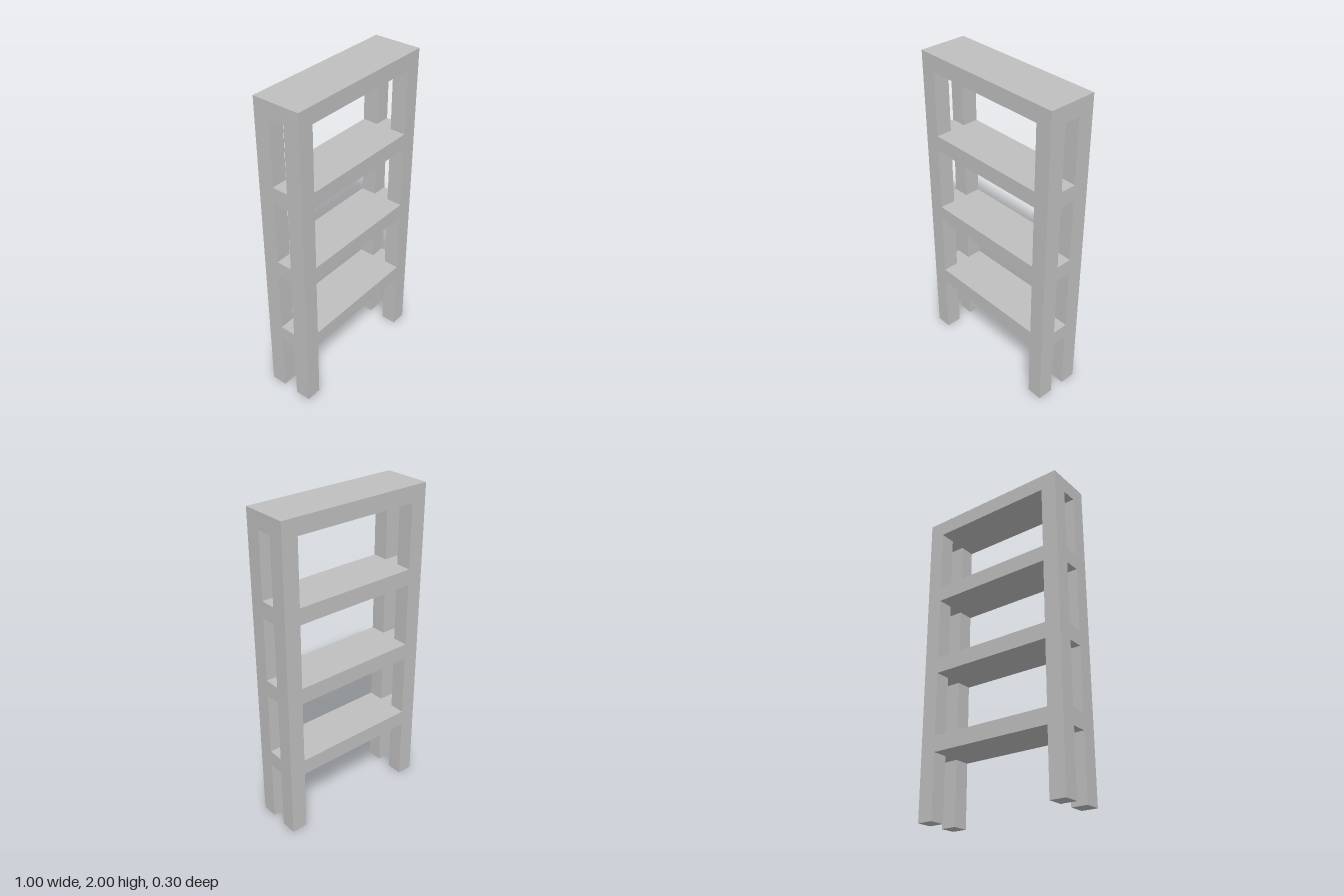
import * as THREE from 'three';

export function createModel() {
  const model = new THREE.Group();
  model.name = 'shelfRack';

  const grey = new THREE.MeshStandardMaterial({ color: 0xbfbfbf });
  grey.name = 'light grey';

  const width = 1, height = 2, depth = 0.3, thick = 0.1;

  // Four square corner posts
  const postGeometry = new THREE.BoxGeometry(thick, height, thick);
  for (const sx of [1, -1]) {
    for (const sz of [1, -1]) {
      const post = new THREE.Mesh(postGeometry, grey);
      post.name = (sz > 0 ? 'front' : 'back') + (sx > 0 ? 'Left' : 'Right') + 'Post';
      post.position.set(sx * (width - thick) / 2, height / 2, sz * (depth - thick) / 2);
      model.add(post);
    }
  }

  // Shelf outline with its corners notched around the posts
  const X = width / 2, Z = depth / 2, x = X - thick, z = Z - thick;
  const outline = new THREE.Shape([
    [x, -Z], [x, -z], [X, -z], [X, z], [x, z], [x, Z],
    [-x, Z], [-x, z], [-X, z], [-X, -z], [-x, -z], [-x, -Z],
  ].map(([a, b]) => new THREE.Vector2(a, b)));
  const shelfGeometry = new THREE.ExtrudeGeometry(outline, { depth: thick, bevelEnabled: false });
  shelfGeometry.rotateX(-Math.PI / 2);

  // Four evenly spaced shelves, the last one flush with the post tops
  for (let i = 1; i <= 4; i++) {
    const shelf = new THREE.Mesh(shelfGeometry, grey);
    shelf.name = i === 4 ? 'topShelf' : 'shelf' + i;
    shelf.position.y = i * 0.5 - thick;
    model.add(shelf);
  }

  return model;
}
